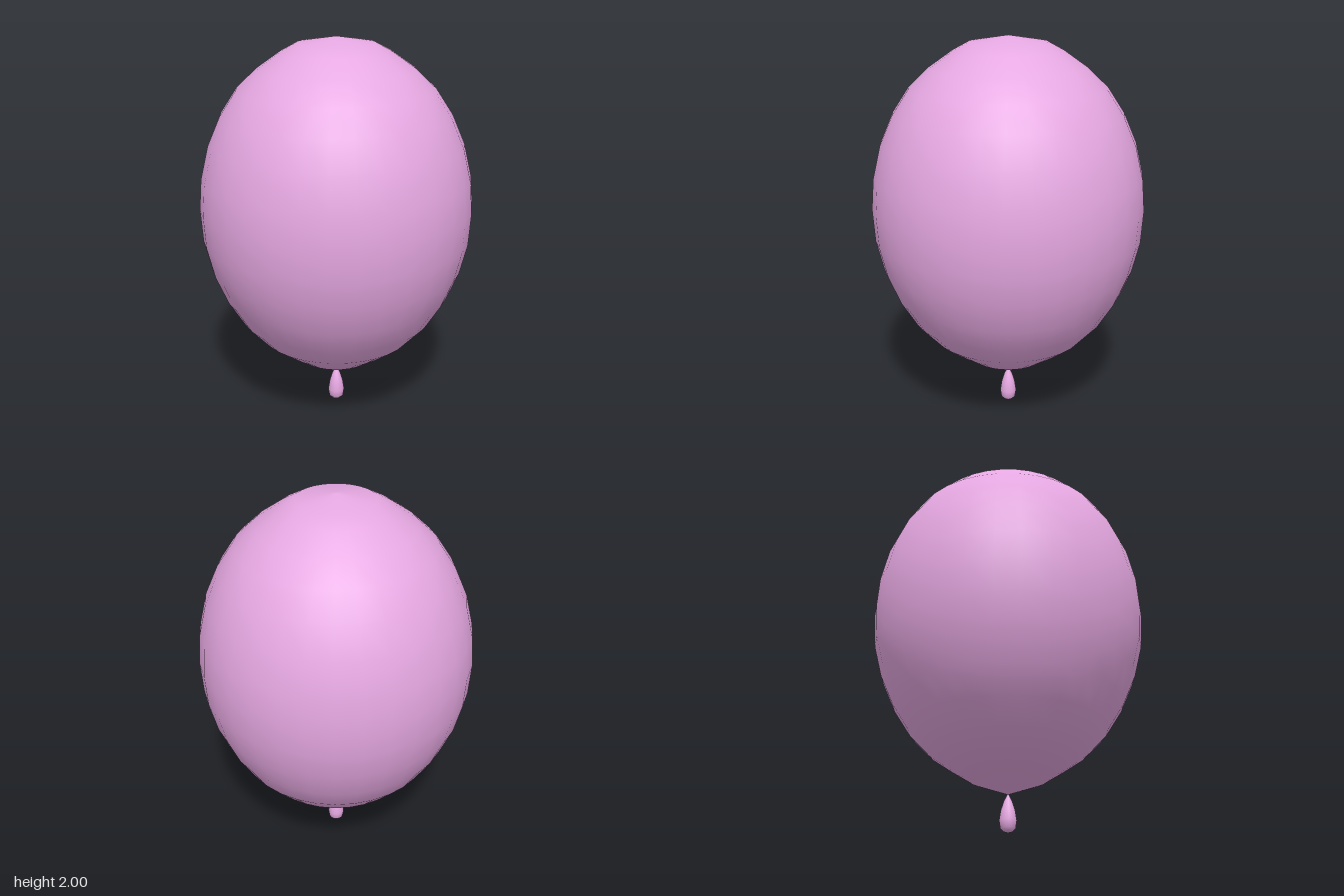
import * as THREE from 'three';

const material = new THREE.MeshStandardMaterial({ color: 0xe6a8e2 });

// Revolve a [radius, height] profile, listed from bottom to top
function turned(name, profile, sides) {
  const points = profile.map(([r, y]) => new THREE.Vector2(r, y));
  const mesh = new THREE.Mesh(new THREE.LatheGeometry(points, sides), material);
  mesh.name = name;
  return mesh;
}

export function createModel() {
  const balloon = new THREE.Group();
  balloon.name = 'balloon';

  // Inflated body: egg shape drawn down to a shallow point
  balloon.add(turned('balloonBody', [
    [0, 0.19], [0.2, 0.27], [0.3, 0.335], [0.4, 0.405], [0.505, 0.515],
    [0.59, 0.65], [0.655, 0.8], [0.695, 0.96], [0.707, 1.13], [0.695, 1.29],
    [0.655, 1.46], [0.59, 1.61], [0.505, 1.74], [0.4, 1.84], [0.28, 1.925],
    [0.2, 1.968], [0, 2],
  ], 32));

  // Teardrop knot hanging below
  balloon.add(turned('knot', [
    [0, 0], [0.022, 0.007], [0.038, 0.022], [0.044, 0.06],
    [0.036, 0.11], [0.022, 0.155], [0, 0.2],
  ], 16));

  return balloon;
}
